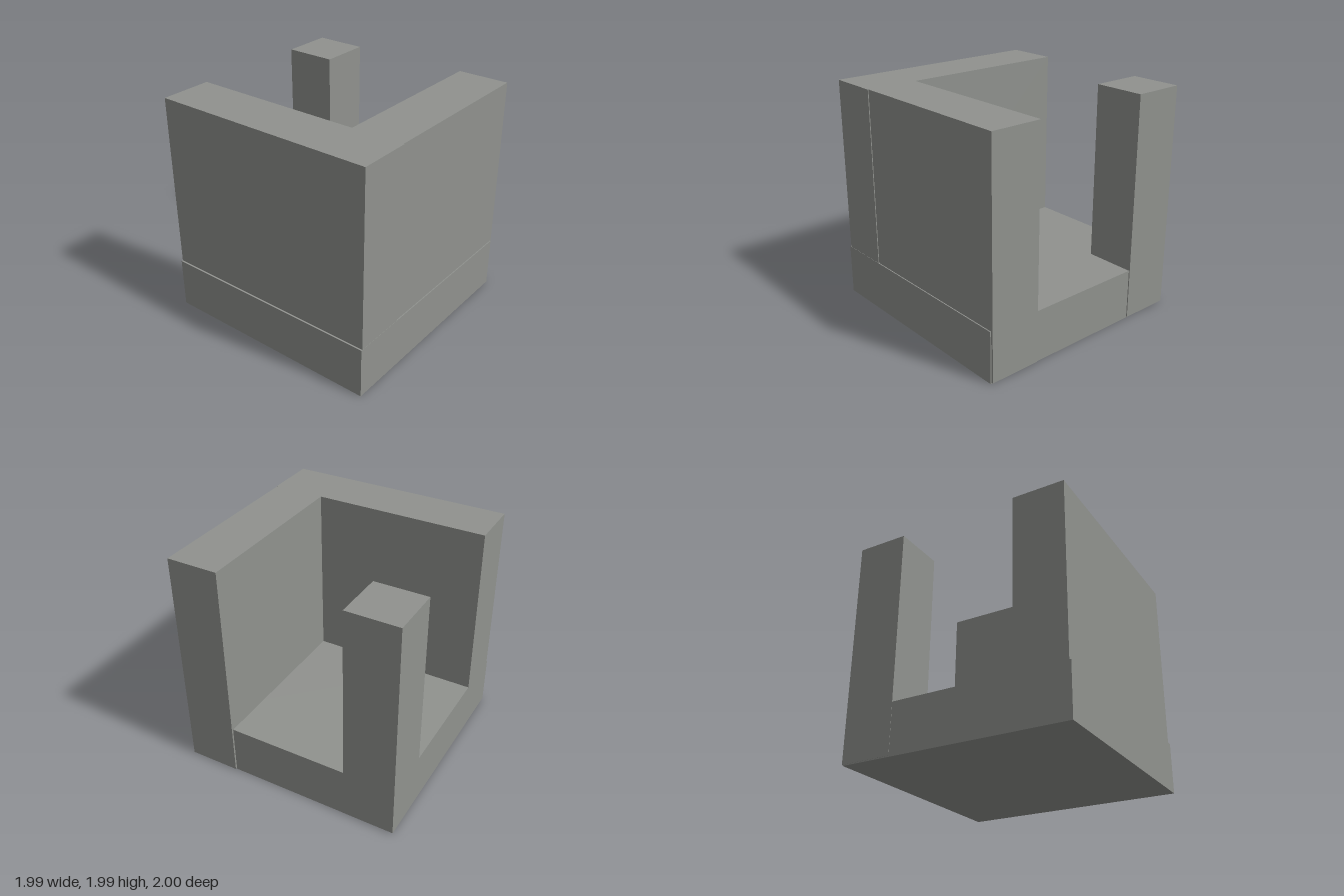
import * as THREE from 'three';

// Box given by its minimum and maximum corners
function block(name, min, max, material) {
  const size = max.map((v, i) => v - min[i]);
  const mesh = new THREE.Mesh(new THREE.BoxGeometry(...size), material);
  mesh.position.set(...max.map((v, i) => (v + min[i]) / 2));
  mesh.name = name;
  return mesh;
}

export function createModel() {
  const group = new THREE.Group();
  group.name = 'cornerBlock';
  const stone = new THREE.MeshStandardMaterial({ color: 0x90928e });
  stone.name = 'stone grey';

  group.add(
    // Square slab that everything stands on
    block('base', [-0.992, 0, -0.983], [0.992, 0.45, 1], stone),
    // Thick walls along the front and the left side, slightly offset from the slab
    block('frontWall', [-0.992, 0.01, 0.53], [0.99, 1.985, 0.985], stone),
    block('sideWall', [0.53, 0.01, -1], [0.983, 1.985, 0.53], stone),
    // Free-standing post in the opposite back corner
    block('cornerPost', [-0.994, 0.01, -0.992], [-0.54, 1.985, -0.54], stone),
  );
  return group;
}
